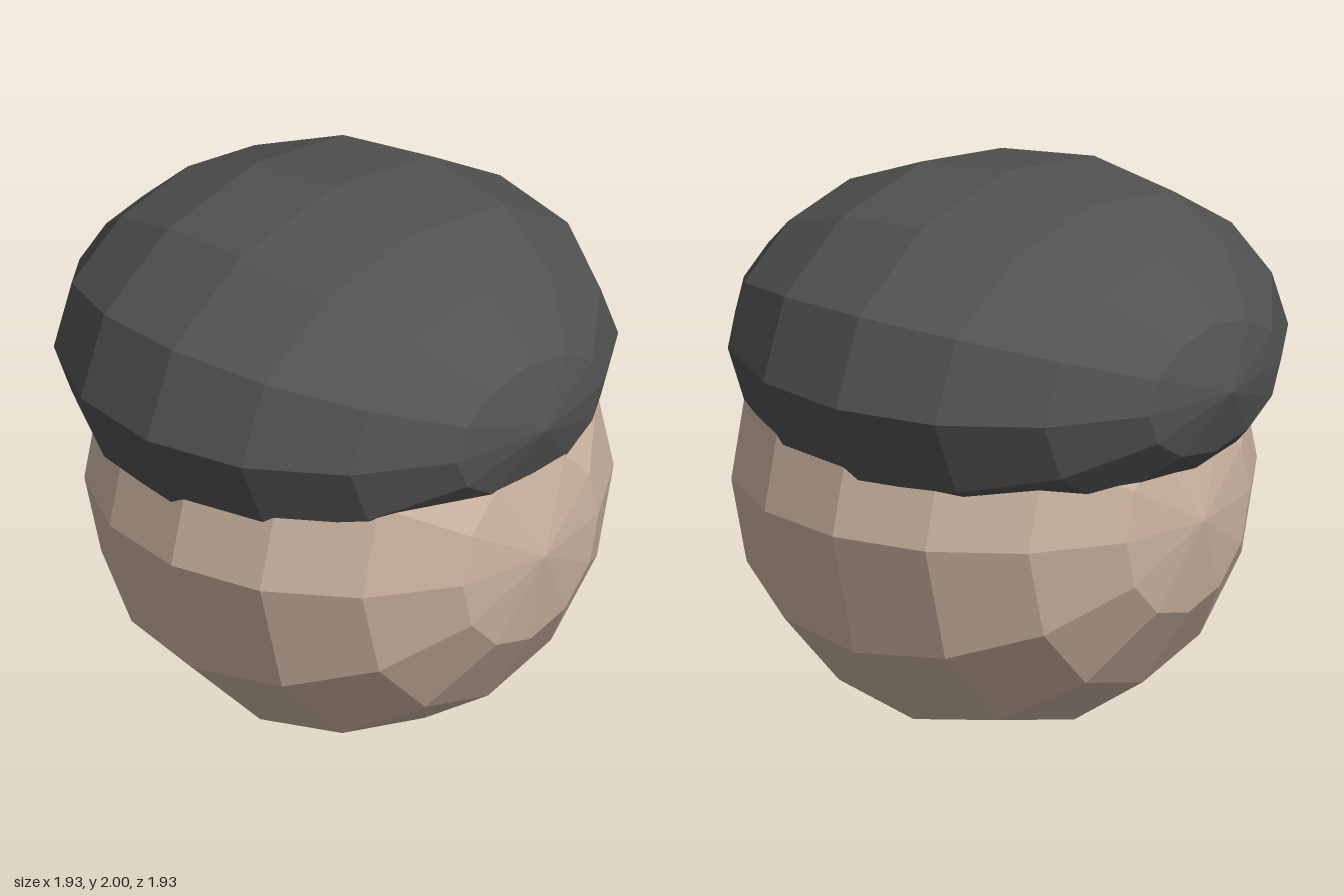
import * as THREE from 'three';

const material = (name, color) => {
  const m = new THREE.MeshStandardMaterial({ color, flatShading: true });
  m.name = name;
  return m;
};

// Faceted ball: poles on the z axis, 12 sides around, 8 rings front to back
function ball(name, mat, rx, ry, rz, y, z) {
  const geometry = new THREE.SphereGeometry(1, 12, 8);
  geometry.rotateX(Math.PI / 2);
  geometry.scale(rx, ry, rz);
  const mesh = new THREE.Mesh(geometry, mat);
  mesh.name = name;
  mesh.position.set(0, y, z);
  return mesh;
}

export function createModel() {
  const group = new THREE.Group();
  group.name = 'acorn';
  // Round nut, set slightly forward under the cap
  group.add(ball('nut', material('tan', 0xcdb5a2), 0.907, 0.907, 0.907, 0.91, 0.06));
  // Flattened cap; its rim is where it meets the nut
  group.add(ball('cap', material('charcoal', 0x525252), 0.967, 0.6, 0.967, 1.4, 0));
  return group;
}
